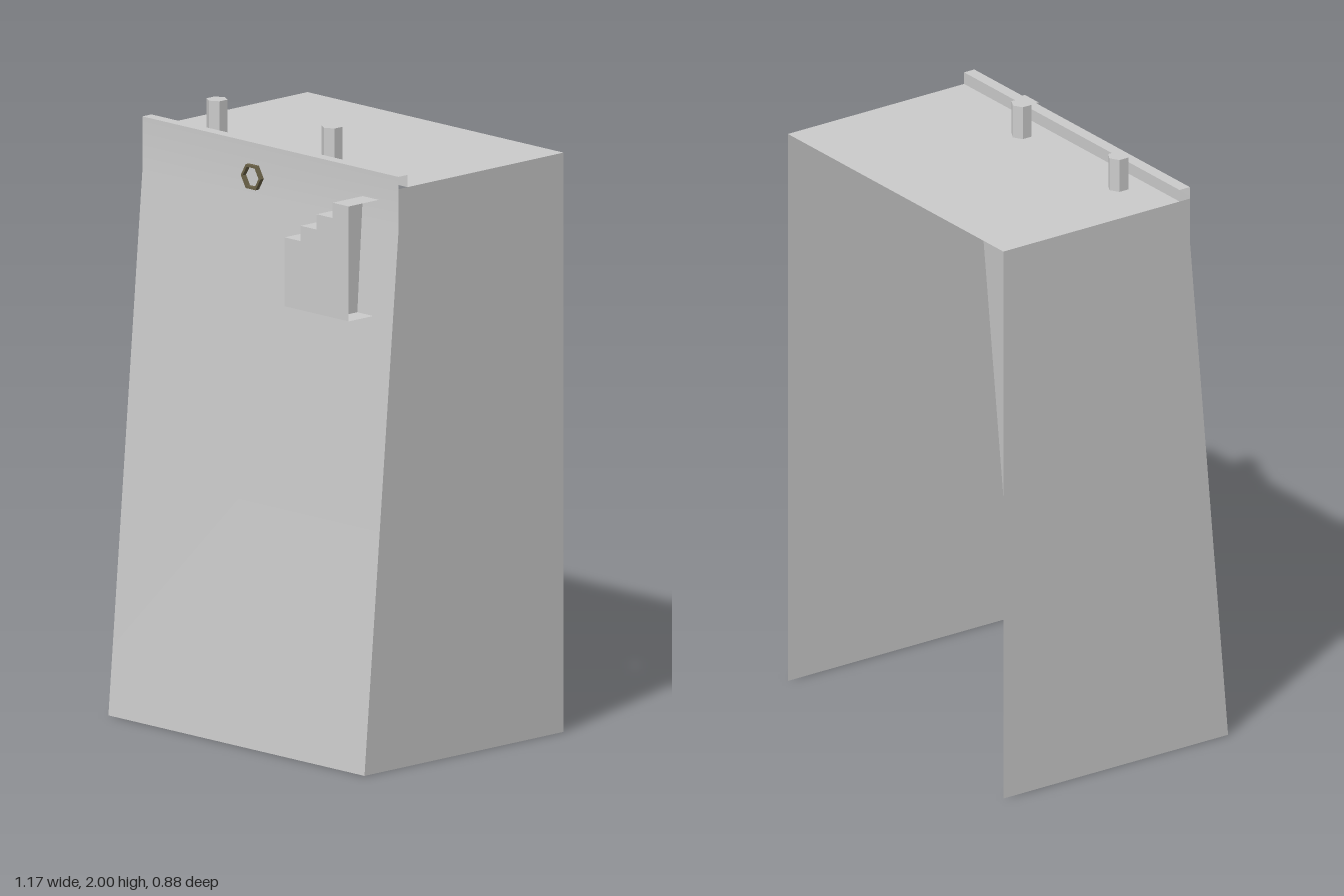
import * as THREE from 'three';

const W = 0.585; // half width of the housing
const grey = new THREE.MeshStandardMaterial({ color: 0xcccccc, side: THREE.DoubleSide });
const brown = new THREE.MeshStandardMaterial({ color: 0x6b6248 });

// Sheet following a [y, z] profile, stretched from x0 to x1
function sheet(profile, x0, x1) {
  const pos = [], index = [];
  profile.forEach(([y, z], i) => {
    pos.push(x0, y, z, x1, y, z);
    if (i > 0) {
      const a = 2 * (i - 1);
      index.push(a, a + 1, a + 3, a, a + 3, a + 2);
    }
  });
  const g = new THREE.BufferGeometry();
  g.setAttribute('position', new THREE.Float32BufferAttribute(pos, 3));
  g.setIndex(index);
  g.computeVertexNormals();
  return g;
}

// Flat wall facing +x, outlined by [z, y] points
function wall(points) {
  const g = new THREE.ShapeGeometry(new THREE.Shape(points.map(([z, y]) => new THREE.Vector2(-z, y))));
  return g.rotateY(Math.PI / 2);
}

function hexagon(r) {
  return Array.from({ length: 6 }, (_, i) =>
    new THREE.Vector2(r * Math.cos(i * Math.PI / 3), r * Math.sin(i * Math.PI / 3)));
}

export function createModel() {
  const model = new THREE.Group();
  const add = (name, geometry, parent = model, material = grey) => {
    const mesh = new THREE.Mesh(geometry, material);
    mesh.name = name;
    parent.add(mesh);
    return mesh;
  };

  // Open-backed housing with a leaning front that straightens near the top
  add('frontPanel', sheet([[0, 0.44], [1.75, 0.29], [1.93, 0.29]], -W, W));
  add('topPanel', sheet([[1.89, 0.25], [1.89, -0.44]], -W, W));
  const side = [[0.44, 0], [-0.44, 0], [-0.44, 1.89], [0.29, 1.89], [0.29, 1.75]];
  add('leftSide', wall(side)).position.x = W;
  add('rightSide', wall(side).rotateY(Math.PI).scale(1, 1, -1)).position.x = -W;

  // Raised lip along the front edge, open at its ends
  add('lipTop', sheet([[1.93, 0.29], [1.93, 0.25]], -W, W));
  add('lipBack', sheet([[1.93, 0.25], [1.89, 0.25]], -W, W));

  // Hexagonal pegs on the top
  for (const x of [-0.38, 0.145]) {
    const peg = add('peg', new THREE.CylinderGeometry(0.035, 0.035, 0.11, 6).toNonIndexed());
    peg.geometry.computeVertexNormals();
    peg.position.set(x, 1.945, 0.158);
  }

  // Hexagonal ring on the front
  const ringShape = new THREE.Shape(hexagon(0.045));
  ringShape.holes.push(new THREE.Path(hexagon(0.036)));
  const ring = add('hexRing', new THREE.ExtrudeGeometry(ringShape, { depth: 0.015, bevelEnabled: false }), model, brown);
  ring.position.set(-0.075, 1.82, 0.29);

  // Stepped pocket: four columns open towards the left
  const pocket = new THREE.Group();
  pocket.name = 'steppedPocket';
  model.add(pocket);
  const bottom = 1.465, front = 0.423, step = 0.073;
  for (let i = 0; i < 4; i++) {
    const x = 0.203 + i * step, top = 1.69 + i * 0.05;
    add('pocketFront', sheet([[bottom, front], [top, front]], x, x + step), pocket);
    add('pocketTread', sheet([[top, front], [top, 0.288]], x, x + step), pocket);
    const backTop = top < 1.75 ? 0.44 - 0.0857 * top : 0.29;
    add('pocketWall', wall([[front, bottom], [0.314, bottom], [backTop, top], [front, top]]), pocket).position.x = x;
  }
  add('pocketBottom', sheet([[bottom, 0.314], [bottom, front]], 0.203, 0.203 + 4 * step), pocket);

  return model;
}
